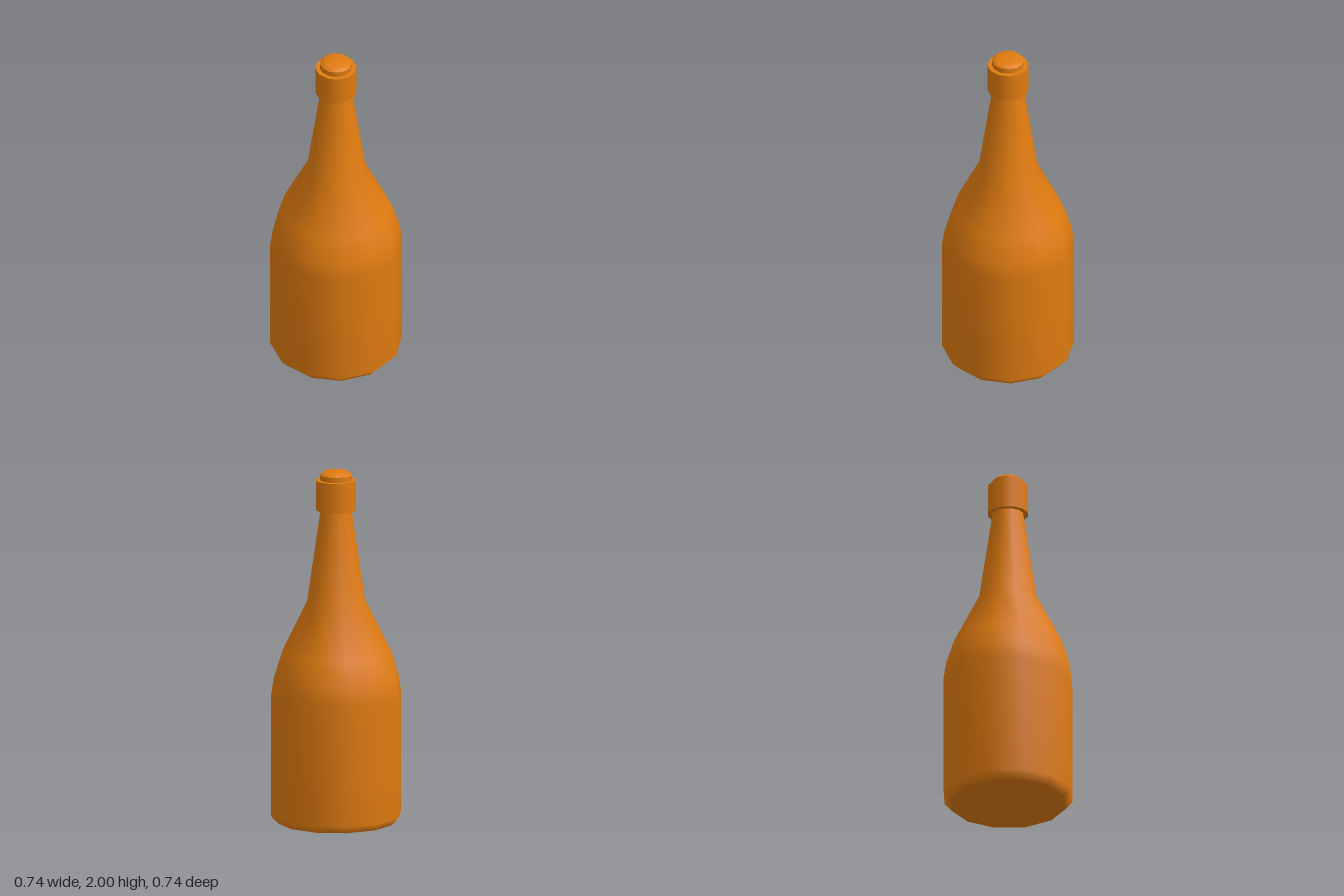
import * as THREE from 'three';

const SIDES = 12;

export function createModel() {
  const group = new THREE.Group();
  group.name = 'bottle';
  const material = new THREE.MeshStandardMaterial({ color: 0xe07b10 });

  const add = (name, geometry) => {
    const mesh = new THREE.Mesh(geometry, material);
    mesh.name = name;
    group.add(mesh);
    return mesh;
  };
  // Smooth surface of revolution from [radius, height] pairs, bottom to top
  const turn = (name, points) =>
    add(name, new THREE.LatheGeometry(points.map(([r, y]) => new THREE.Vector2(r, y)), SIDES));

  // Chamfered foot, straight side, rounded shoulder and tapering neck
  turn('body', [
    [0.33, 0], [0.37, 0.045], [0.37, 0.73], [0.355, 0.83],
    [0.31, 0.97], [0.165, 1.26], [0.088, 1.78],
  ]);

  // Flat underside
  add('base', new THREE.CircleGeometry(0.33, SIDES).rotateX(Math.PI / 2));

  // Collar around the mouth
  add('collar', new THREE.CylinderGeometry(0.115, 0.115, 0.17, SIDES)).position.y = 1.865;

  // Stopper with a softly domed top
  turn('stopperSide', [[0.09, 1.94], [0.09, 1.98]]);
  turn('stopperTop', [[0.09, 1.98], [0.065, 2], [0, 2]]);

  return group;
}
